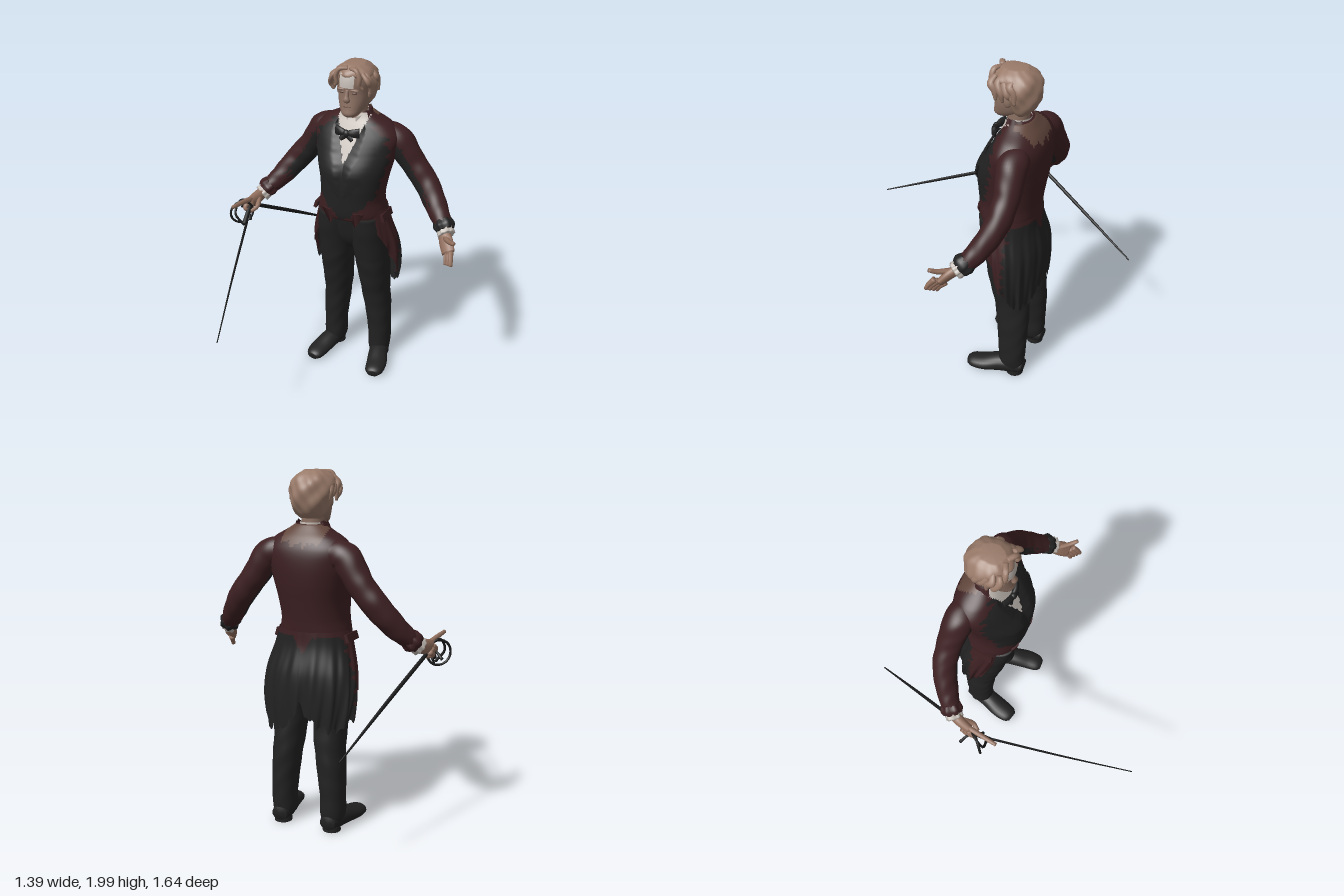
import * as THREE from 'three';

const mat = (name, color, side = THREE.FrontSide) =>
  Object.assign(new THREE.MeshStandardMaterial({ color, side }), { name });
const { sin, cos, abs, sign, pow, PI, max, min } = Math;

// smooth lookup in a table whose first column is the parameter
function at(keys, t) {
  const n = keys.length;
  let i = 0;
  while (i < n - 2 && t > keys[i + 1][0]) i++;
  const a = keys[i], b = keys[i + 1], p = keys[max(i - 1, 0)], q = keys[min(i + 2, n - 1)];
  const d = b[0] - a[0], s = (t - a[0]) / d, s2 = s * s, s3 = s2 * s;
  return a.map((_, k) => {
    const ma = (b[k] - p[k]) / (b[0] - p[0]) * d, mb = (q[k] - a[k]) / (q[0] - a[0]) * d;
    return (2 * s3 - 3 * s2 + 1) * a[k] + (s3 - 2 * s2 + s) * ma + (3 * s2 - 2 * s3) * b[k] + (s3 - s2) * mb;
  });
}

// grid surface f(u, v); pick chooses the material of each cell
function surface(name, f, nu, nv, mats, { wrap = true, pick = () => 0 } = {}) {
  const pos = [], cols = wrap ? nu : nu + 1, rows = mats.map(() => []);
  for (let j = 0; j <= nv; j++) for (let i = 0; i < cols; i++) pos.push(...f(i / nu, j / nv));
  for (let j = 0; j < nv; j++) for (let i = 0; i < nu; i++) {
    const a = j * cols + i, b = j * cols + (i + 1) % cols, c = a + cols, d = b + cols;
    const u = (i + 0.5) / nu, v = (j + 0.5) / nv;
    rows[pick(f(u, v), u, v)].push(a, c, b, b, c, d);
  }
  const g = new THREE.BufferGeometry();
  g.setAttribute('position', new THREE.Float32BufferAttribute(pos, 3));
  g.setIndex(rows.flat());
  let start = 0;
  rows.forEach((r, k) => { g.addGroup(start, r.length, k); start += r.length; });
  g.computeVertexNormals();
  const m = new THREE.Mesh(g, mats);
  m.name = name;
  return m;
}

// upright body: rows of [y, centre x, half width, front z, back z], closed at both ends
function loft(name, keys, mats, { e = 2.2, nu = 40, nv = 30, pick, bump = () => 0 } = {}) {
  const y0 = keys[0][0], y1 = keys[keys.length - 1][0];
  return surface(name, (u, v) => {
    const s = (v * nv - 1) / (nv - 2), end = s < -1e-6 || s > 1 + 1e-6;
    const [y, cx, rx, zf, zb] = at(keys, y0 + (y1 - y0) * min(1, max(0, s)));
    const a = u * 2 * PI, k = end ? 0 : 1 + bump(a, y);
    const c = cos(a), d = sin(a);
    return [cx + k * rx * sign(c) * pow(abs(c), 2 / e), y,
      (zf + zb) / 2 + k * (zf - zb) / 2 * sign(d) * pow(abs(d), 2 / e)];
  }, nu, nv, mats, { pick });
}

// limb through points [x, y, z, radius along ref, radius across]
function limb(name, pts, mats, { ref = [0, 0, 1], nu = 12, nv = 16, pick, bump = () => 0 } = {}) {
  const keys = pts.map((p, i) => [i / (pts.length - 1), ...p]);
  return surface(name, (u, v) => {
    const s = (v * nv - 1) / (nv - 2), t = min(1, max(0, s));
    const end = s < -1e-6 || s > 1 + 1e-6;
    const [, x, y, z, ra, rb] = at(keys, t);
    const p0 = at(keys, max(0, t - 0.02)), p1 = at(keys, min(1, t + 0.02));
    const T = new THREE.Vector3(p1[1] - p0[1], p1[2] - p0[2], p1[3] - p0[3]).normalize();
    const N = new THREE.Vector3(...ref);
    N.addScaledVector(T, -N.dot(T)).normalize();
    const S = N.clone().cross(T), a = u * 2 * PI, k = end ? 0 : 1 + bump(a, t);
    return new THREE.Vector3(x, y, z).addScaledVector(N, k * ra * cos(a)).addScaledVector(S, k * rb * sin(a)).toArray();
  }, nu, nv, mats, { pick });
}

export function createModel() {
  const g = new THREE.Group();
  const coat = mat('coat maroon', 0x3d2022, THREE.DoubleSide);
  const black = mat('black cloth', 0x222222, THREE.DoubleSide);
  const steel = mat('dark steel', 0x1b1b1b);
  const face = mat('face skin', 0x8c7062);
  const skin = mat('hand skin', 0x93705e);
  const hair = mat('hair', 0x997a69);
  const white = mat('shirt white', 0xc4bcb5, THREE.DoubleSide);
  const brown = mat('collar brown', 0x62473d);
  const add = (...m) => g.add(...m);
  const jag = t => 0.012 * sin(t * 90) + 0.008 * sin(t * 173 + 1);

  // coat body with waistcoat, shirt front and back collar
  const torso = [[1.085, .005, .2, -.068, -.38], [1.12, .005, .203, -.058, -.387], [1.2, .005, .19, -.05, -.395],
    [1.3, .01, .198, -.045, -.41], [1.4, .01, .22, -.055, -.425], [1.5, .01, .243, -.1, -.43],
    [1.58, .01, .25, -.14, -.42], [1.64, .01, .2, -.17, -.392], [1.68, .01, .13, -.19, -.36], [1.71, .01, .085, -.2, -.335]];
  add(loft('coatBody', torso, [coat, black, white, brown], { nu: 120, nv: 80, pick: ([x, y, z]) => {
    const w = abs(x - .008);
    if (z > -.25 && y > 1.43 && w < (y - 1.43) * .36) return 2;
    if (z < -.27 && y > 1.61 + jag(x) + .25 * max(0, w - .05) && w < .12) return 3;
    return z > -.19 + max(0, 1.45 - y) * .25 + jag(y) && y > 1.08 + w * .9 + jag(x) ? 1 : 0;
  } }));
  const frontZ = (x, y) => {
    const [, cx, rx, zf, zb] = at(torso, y);
    return (zf + zb) / 2 + (zf - zb) / 2 * pow(max(0, 1 - pow(min(1, abs(x - cx) / rx), 2.2)), 1 / 2.2);
  };
  for (const s of [-1, 1]) {
    // broad ragged lapels
    add(surface('lapel', (u, v) => {
      const y = 1.24 + .42 * v, inner = max(.004, (y - 1.43) * .36);
      const outer = at([[1.24, .03], [1.32, .09], [1.42, .15], [1.5, .195], [1.56, .17], [1.59, .18], [1.66, .1]], y)[1] + jag(y) * .7;
      const x = .008 + s * (inner + (outer - inner) * u);
      return [x, y, frontZ(x, y) + .003 + .016 * min(1, u * 3) * min(1, v * 3)];
    }, 14, 60, [black], { wrap: false }));
    // front points and pocket flaps
    const point = new THREE.Mesh(new THREE.ConeGeometry(.055, .1, 4), coat);
    point.name = 'frontPoint';
    point.scale.z = .35;
    point.rotation.z = PI;
    point.position.set(.005 + s * .08, 1.095, -.075);
    const flap = new THREE.Mesh(new THREE.BoxGeometry(.018, .045, .13), coat);
    flap.name = 'pocketFlap';
    flap.position.set(.005 + s * .215, 1.1, -.22);
    flap.rotation.z = s * .3;
    add(point, flap);
  }

  // standing coat collar, open in front
  add(surface('coatCollar', (u, v) => {
    const a = 1 + u * (2 * PI - 2), r = .12 - .035 * v;
    return [.008 + r * sin(a), 1.655 + .07 * v + .006 * sin(a * 9) * v, -.255 + r * (cos(a) < 0 ? .95 : .75) * cos(a)];
  }, 40, 6, [coat, brown], { wrap: false, pick: ([x, , z]) => z < -.3 && abs(x) < .085 ? 1 : 0 }));

  // coat skirt: open in front, ragged tails behind
  add(surface('coatTails', (u, v) => {
    const k = abs(2 * u - 1), back = 1 - k, left = u < .5 ? .03 : 0;
    const hem = at([[0, .8], [.2, .67], [.5, .605], [.8, .63], [.96, .71], [1, .75]], back)[1] + jag(u) * 1.3 - left * min(1, back * 2.5);
    const y = 1.14 + (hem - 1.14) * v;
    const [, rx, zf, zb] = at([[.55, .245, -.2, -.43], [.75, .274, -.15, -.44], [.9, .268, -.11, -.435],
      [1.05, .23, -.075, -.402], [1.15, .203, -.06, -.398]], y);
    const open = PI * (.2 + .17 * v), a = open + u * 2 * (PI - open);
    const f = 1 + .045 * v * sin(a * 15) + .02 * v * sin(a * 27 + 6 * v);
    return [.008 + rx * f * sin(a), y, (zf + zb) / 2 + (zf - zb) / 2 * f * cos(a)];
  }, 130, 40, [coat, black], { wrap: false, pick: ([x, y, z]) =>
    (z < -.29 + jag(y) && y < 1.11 - .09 * max(0, 1 - abs(x) / .06)) || y < .65 ? 1 : 0 }));

  // trousers
  add(loft('trouserSeat', [[.84, .008, .06, -.19, -.33], [.89, .008, .12, -.15, -.35], [.94, .008, .17, -.125, -.36],
    [1.02, .008, .185, -.103, -.36], [1.12, .008, .18, -.08, -.355]], [black]));
  for (const s of [-1, 1]) {
    const o = s > 0 ? .012 : 0, X = x => s * x + o;
    add(loft('trouserLeg', [[.05, .148, .06, -.25, -.395], [.1, .148, .068, -.243, -.402], [.2, .147, .069, -.238, -.405],
      [.35, .137, .077, -.225, -.41], [.5, .123, .084, -.205, -.408], [.6, .118, .09, -.18, -.4], [.75, .112, .1, -.145, -.387],
      [.9, .102, .106, -.115, -.37], [1.0, .1, .104, -.092, -.36], [1.1, .095, .092, -.078, -.35]].map(([y, c, ...r]) => [y, X(c), ...r]), [black],
    { nv: 60, bump: (a, y) => (y < .8 ? .022 : .006) * sin(y * 38 + 3 * sin(a + s)) * cos(a * 2 + y * 9) }));
    // shoe, turned out, with heel
    const toe = s > 0 ? .018 : .006;
    const shoe = limb('shoe', [[X(.147), .055, -.4, .04, .045], [X(.15), .06, -.34, .058, .058], [X(.163) + s * toe * .4, .055, -.25, .055, .06],
      [X(.18) + s * toe, .042, -.16, .042, .064], [X(.19) + s * toe, .034, -.09, .034, .056], [X(.195) + s * toe, .028, -.06, .022, .034]],
    [black], { ref: [0, 1, 0], nu: 20, nv: 24 });
    const p = shoe.geometry.attributes.position;
    for (let i = 0; i < p.count; i++) p.setY(i, max(0, p.getY(i)));
    const heel = new THREE.Mesh(new THREE.CylinderGeometry(.05, .052, .03, 16), black);
    heel.name = 'shoeHeel';
    heel.position.set(X(.15), .015, -.345);
    add(shoe, heel);

    // sleeve, turned cuff and shirt ruffle
    add(limb('sleeve', [[.12, 1.565, -.31, .08, .07], [.222, 1.54, -.32, .083, .084], [.312, 1.415, -.335, .071, .075], [.41, 1.295, -.325, .066, .073],
      [.5, 1.18, -.27, .06, .063], [.57, 1.105, -.21, .048, .046]].map(([x, ...r]) => [X(x), ...r]), [coat, black],
    { nu: 40, nv: 60, bump: (a, t) => .025 * sin(t * 42 + 3 * sin(a + 1)) * cos(a + t * 5),
      pick: (q, u, v) => {
        const a = u * 2 * PI, low = -s * sin(a);
        return v > .18 && v < .72 + jag(u) * 3 && cos(a) > -.1 && low > -.35 + v * .6 + jag(v) * 4 ? 1 : 0;
      } }));
    add(limb('cuff', [[X(.545), 1.13, -.23, .05, .052], [X(.565), 1.11, -.213, .06, .058], [X(.58), 1.093, -.197, .05, .048]],
      [s > 0 ? black : coat], { nu: 28, bump: a => .1 * sin(a * 7) }));
    add(limb('shirtRuffle', [[X(.57), 1.1, -.205, .045, .045], [X(.594), 1.076, -.178, .046, .048]], [white],
      { nu: 28, nv: 8, bump: a => .12 * sin(a * 9) }));
  }

  // open left hand
  const finger = (name, ...p) => add(limb(name, p.map((q, i) => [...q, .017 - i * .003, .017 - i * .003]), [skin], { ref: [.3, 1, .2], nu: 8, nv: 10 }));
  add(limb('leftPalm', [[.585, 1.085, -.19, .03, .035], [.615, 1.05, -.15, .026, .045], [.645, 1.005, -.11, .02, .042]], [skin]));
  for (let i = 0; i < 4; i++)
    finger('leftFinger', [.625 + i * .013, .995 + i * .012, -.13 + i * .014], [.638 + i * .013, .967 + i * .009, -.1 + i * .014], [.642 + i * .014, .94 + i * .008, -.085 + i * .014]);
  finger('leftThumb', [.61, 1.07, -.15], [.655, 1.08, -.1], [.685, 1.1, -.065]);

  // right hand, forefinger along the hilt and the rest curled
  add(limb('rightPalm', [[-.58, 1.09, -.2, .035, .035], [-.6, 1.07, -.14, .03, .042], [-.615, 1.06, -.07, .022, .036]], [skin], { ref: [1, 0, 0] }));
  finger('rightForefinger', [-.612, 1.08, -.08], [-.622, 1.095, .01], [-.63, 1.105, .1]);
  for (let i = 0; i < 3; i++)
    finger('rightFinger', [-.625, 1.065 - i * .014, -.08 - i * .02], [-.63, 1.035 - i * .012, -.035 - i * .022], [-.6, 1.005, -.06 - i * .022]);
  finger('rightThumb', [-.585, 1.07, -.13], [-.57, 1.04, -.08], [-.59, 1.02, -.04]);

  // two blades with grip and guard
  const rod = (name, ...p) => add(limb(name, p, [steel], { ref: [0, 1, 0], nu: 8, nv: 14 }));
  rod('frontBlade', [-.595, .97, .01, .014, .007], [-.46, .832, .42, .011, .005], [-.32, .7, .82, .004, .003]);
  rod('rearBlade', [-.613, 1.035, -.1, .012, .01], [-.52, .83, -.46, .011, .009], [-.43, .62, -.82, .004, .004]);
  rod('grip', [-.595, .97, .04, .015, .015], [-.61, 1.02, -.04, .014, .014], [-.615, 1.05, -.11, .016, .016]);
  rod('crossGuard', [-.69, 1.0, -.1, .009, .009], [-.64, 1.03, -.07, .007, .007], [-.58, .98, -.01, .01, .01]);
  rod('knuckleBow', [-.61, 1.07, -.07, .007, .007], [-.65, 1.09, -.02, .007, .007], [-.66, 1.02, .03, .007, .007], [-.61, .95, .02, .008, .008]);
  const ring = new THREE.Mesh(new THREE.TorusGeometry(.07, .007, 8, 28), steel);
  ring.name = 'guardRing';
  ring.position.set(-.643, 1.013, -.018);
  ring.rotation.y = PI / 4;
  add(ring);

  // neck, collar and bow tie
  add(loft('neck', [[1.6, .01, .07, -.18, -.32], [1.7, .008, .062, -.19, -.31], [1.8, .008, .062, -.18, -.31]], [face]));
  add(surface('shirtCollar', (u, v) => {
    const a = .35 + u * (2 * PI - .7), r = .072 - .004 * v;
    return [.008 + r * sin(a), 1.63 + .09 * v - .035 * max(0, cos(a)) * v, -.25 + r * 1.05 * cos(a)];
  }, 36, 6, [white], { wrap: false }));
  for (const s of [-1, 1]) {
    add(limb('bowTieWing', [[.005, 1.61, -.125, .012, .014], [.005 + s * .035, 1.613, -.127, .016, .024], [.005 + s * .07, 1.613, -.142, .014, .031]], [black], { nv: 10 }));
    add(limb('bowTieEnd', [[.005, 1.6, -.122, .01, .012], [.005 + s * .022, 1.585, -.12, .008, .015], [.005 + s * .036, 1.572, -.115, .006, .011]], [black], { nv: 10 }));
  }
  const ball = (name, m, x, y, z, a, b, c) => {
    const q = new THREE.Mesh(new THREE.SphereGeometry(1, 16, 12), m);
    q.name = name;
    q.position.set(x, y, z);
    q.scale.set(a, b, c);
    add(q);
  };
  ball('bowTieKnot', black, .005, 1.61, -.12, .02, .022, .018);

  // head and features
  add(loft('head', [[1.705, .008, .035, -.125, -.2], [1.72, .008, .052, -.113, -.24], [1.75, .008, .07, -.117, -.29], [1.79, .008, .083, -.122, -.31],
    [1.84, .008, .09, -.125, -.33], [1.9, .008, .093, -.12, -.34], [1.95, .008, .08, -.135, -.33], [1.98, .008, .045, -.18, -.29]], [face], { nv: 40 }));
  add(limb('nose', [[.008, 1.865, -.122, .01, .01], [.008, 1.83, -.114, .013, .013], [.008, 1.81, -.11, .015, .02], [.008, 1.798, -.12, .01, .016]], [face], { nu: 14 }));
  ball('mouth', brown, .008, 1.766, -.122, .022, .004, .006);
  for (const s of [-1, 1]) {
    ball('ear', face, .008 + s * .093, 1.83, -.225, .014, .035, .024);
    ball('eye', brown, .008 + s * .036, 1.845, -.133, .016, .006, .008);
    ball('browRidge', face, .008 + s * .038, 1.864, -.13, .028, .007, .012);
  }

  // pale forehead plate
  add(surface('foreheadPlate', (u, v) => {
    const x = (u - .5) * .085;
    return [.005 + x, 1.878 + .077 * v, -.106 - 6 * x * x - .014 * v * v];
  }, 8, 6, [white], { wrap: false }));

  // wavy hair, drawn in over the face
  add(loft('hair', [[1.74, .008, .06, -.24, -.31], [1.77, .008, .088, -.2, -.34], [1.82, .008, .108, -.17, -.366], [1.88, .008, .12, -.13, -.372],
    [1.93, .008, .114, -.115, -.362], [1.965, .008, .09, -.128, -.335], [1.992, .008, .05, -.165, -.29]], [hair],
  { nu: 72, nv: 44, bump: (a, y) => .03 * sin(5 * a + 45 * y) + .022 * sin(11 * a - 60 * y) -
    (sin(a) > .1 && y < 1.94 ? .3 * min(1, (sin(a) - .1) * 2.5) * min(1, (1.94 - y) * 30) : 0) }));
  // curls framing the face and shorter waves over the temples
  for (const s of [-1, 1]) {
    add(limb('fringeCurl', [[.008 + s * .01, 1.978, -.15, .016, .012], [.008 + s * .05, 1.975, -.128, .016, .012], [.008 + s * .07, 1.935, -.124, .016, .013],
      [.008 + s * .067, 1.895, -.13, .013, .011], [.008 + s * .084, 1.872, -.14, .007, .007]], [hair], { nu: 10, nv: 24 }));
    for (let i = 0; i < 4; i++) {
      const z = -.15 - i * .035, w = .008 * sin(i * 2.3 + s);
      add(limb('templeWave', [[.008 + s * .075, 1.958, z, .014, .01], [.008 + s * (.105 + w), 1.925, z + .012, .02, .014],
        [.008 + s * .118, 1.885 + w, z - .012, .018, .013], [.008 + s * (.11 + w), 1.84 + .012 * sin(i * 4), z - .02, .008, .008]], [hair], { nu: 10, nv: 20 }));
    }
  }
  return g;
}
